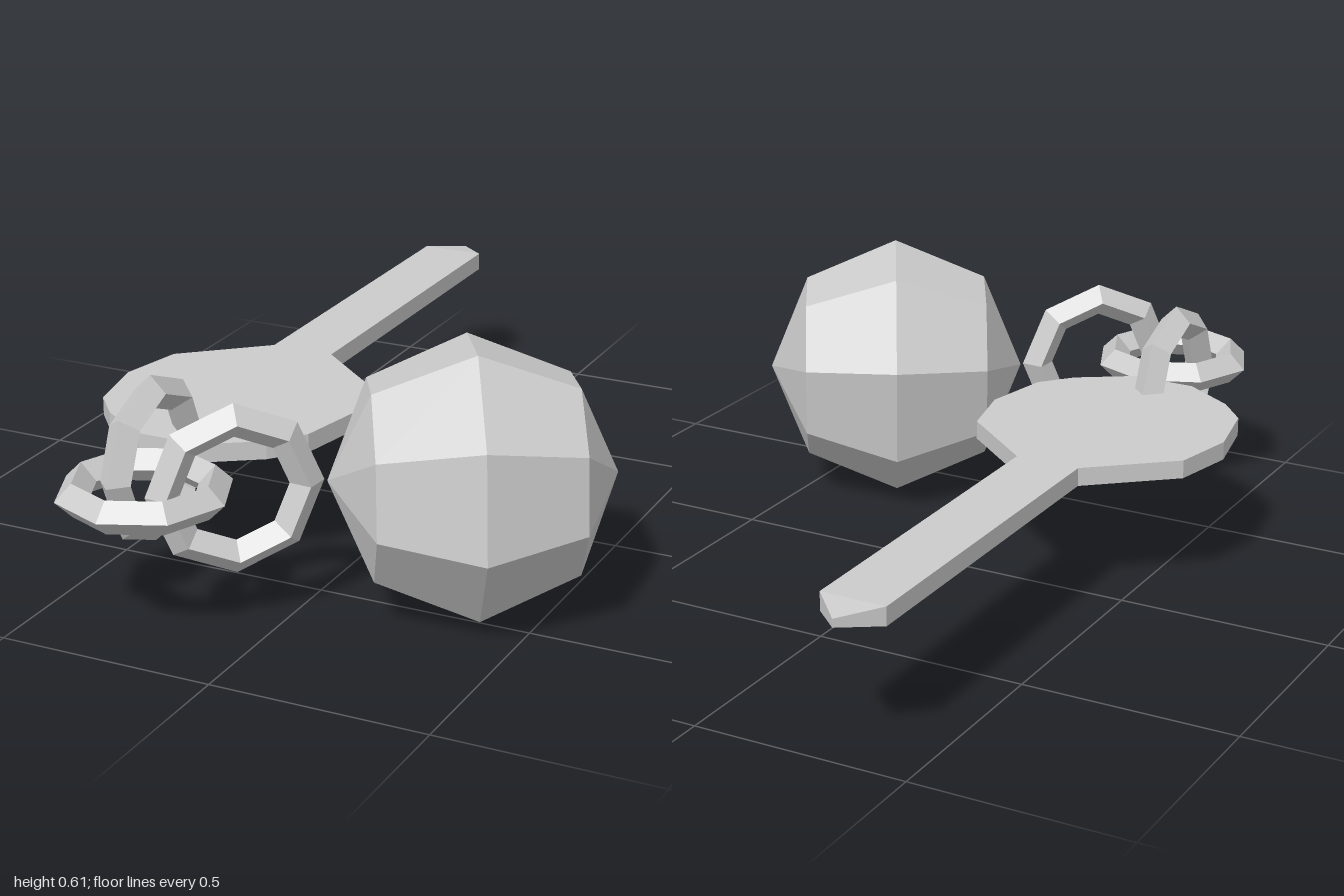
import * as THREE from 'three';

const MID_Y = 0.306;   // height of the chain and key
const KEY_X = -0.335;  // centre line of the key
const THICK = 0.043;

export function createModel() {
  const model = new THREE.Group();
  const material = new THREE.MeshStandardMaterial({ color: 0xcccccc, flatShading: true });

  const add = (name, geometry, x, y, z) => {
    const mesh = new THREE.Mesh(geometry, material);
    mesh.name = name;
    mesh.position.set(x, y, z);
    model.add(mesh);
    return mesh;
  };

  // Flat slab from an outline of [x, z] points, centred on its own thickness
  const slab = (points) => {
    const shape = new THREE.Shape(points.map(([x, z]) => new THREE.Vector2(x, z)));
    return new THREE.ExtrudeGeometry(shape, { depth: THICK, bevelEnabled: false })
      .rotateX(Math.PI / 2)
      .translate(0, THICK / 2, 0);
  };

  // Key head and blade: half outline, mirrored across the centre line
  const half = [
    [0.077, -0.92], [0.077, -0.06], [0.264, 0.098], [0.297, 0.251],
    [0.264, 0.415], [0.2, 0.49], [0.077, 0.57],
  ];
  const mirrored = half.map(([x, z]) => [-x, z]).reverse();
  add('keyBody', slab([...half, ...mirrored]), KEY_X, MID_Y, 0);

  // Pointed tip, thinning toward its end
  const tip = slab([[0.077, -0.92], [-0.077, -0.92], [0, -1]]);
  const pos = tip.attributes.position;
  for (let i = 0; i < pos.count; i++) {
    if (pos.getZ(i) < -0.95) pos.setY(i, pos.getY(i) * 0.45);
  }
  tip.computeVertexNormals();
  add('keyTip', tip, KEY_X, MID_Y, 0);

  // Chain links: eight-sided rings with a diamond cross-section
  const links = [
    ['keyLink', KEY_X, 0.637, 0, Math.PI / 2],
    ['middleLink', -0.26, 0.799, Math.PI / 2, 0],
    ['ballLink', -0.0925, 0.707, 0, THREE.MathUtils.degToRad(41)],
  ];
  for (const [name, x, z, rx, ry] of links) {
    add(name, new THREE.TorusGeometry(0.156, 0.038, 4, 8), x, MID_Y, z).rotation.set(rx, ry, 0);
  }

  // Faceted ball with one pole toward the last link
  const ball = new THREE.SphereGeometry(0.313, 8, 4)
    .rotateZ(Math.PI / 2)
    .rotateX(THREE.MathUtils.degToRad(14.5))
    .rotateY(Math.PI / 6);
  add('ball', ball, 0.331, 0.303, 0.422);

  return model;
}
